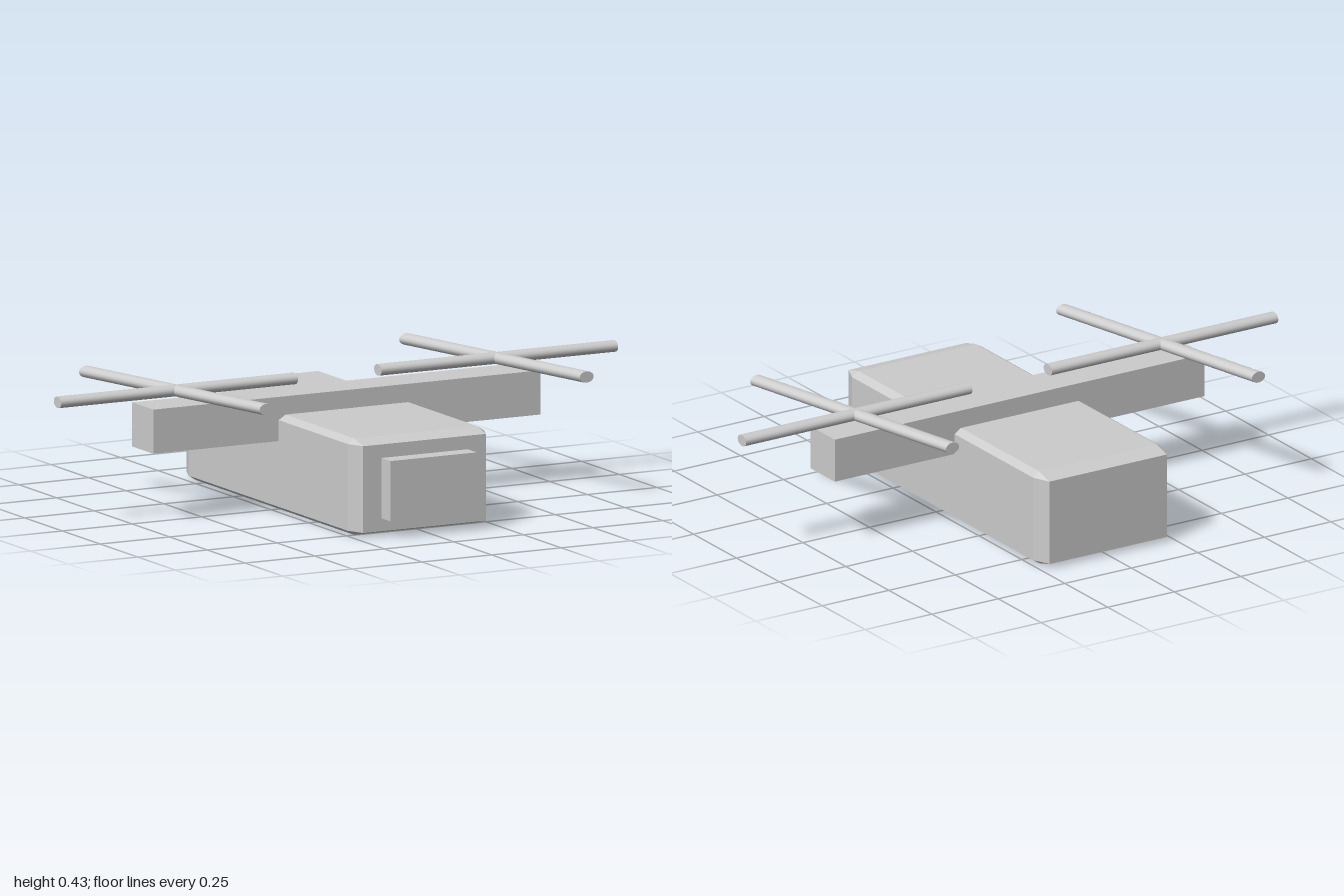
import * as THREE from 'three';
import { ConvexGeometry } from 'three/addons/geometries/ConvexGeometry.js';

const material = new THREE.MeshStandardMaterial({ color: 0xcccccc });

function addMesh(parent, name, geometry, x, y, z) {
  const mesh = new THREE.Mesh(geometry, material);
  mesh.name = name;
  mesh.position.set(x, y, z);
  parent.add(mesh);
  return mesh;
}

// Box with every edge cut by a bevel proportional to its size
function bevelledBox(w, h, d, bevel) {
  const points = [];
  const k = 1 - 2 * bevel;
  for (const sx of [-1, 1]) for (const sy of [-1, 1]) for (const sz of [-1, 1]) {
    for (const [a, b, c] of [[1, k, k], [k, 1, k], [k, k, 1]]) {
      points.push(new THREE.Vector3(sx * a * w / 2, sy * b * h / 2, sz * c * d / 2));
    }
  }
  return new ConvexGeometry(points);
}

// Oval rod along `axis`, with slanted ends lying along `across`
function blade(across, axis, thickness) {
  const g = new THREE.CylinderGeometry(0.5, 0.5, 1, 16);
  return g.applyMatrix4(new THREE.Matrix4().makeBasis(
    new THREE.Vector3(...across),
    new THREE.Vector3(...axis),
    new THREE.Vector3(0, -thickness, 0)
  ));
}

export function createModel() {
  const model = new THREE.Group();
  model.name = 'rotorcraft';

  // Body and nose panel
  addMesh(model, 'fuselage', bevelledBox(0.49, 0.31, 1.17, 0.05), 0, 0.155, -0.03);
  addMesh(model, 'nosePanel', new THREE.BoxGeometry(0.31, 0.194, 0.1), 0, 0.154, 0.565);

  // Cross beam
  addMesh(model, 'wing', new THREE.BoxGeometry(1.39, 0.142, 0.14), 0, 0.298, -0.03);

  // Two identical crossed rotors floating just above the wing tips
  for (const [name, x] of [['rightRotor', -0.575], ['leftRotor', 0.575]]) {
    const rotor = new THREE.Group();
    rotor.name = name;
    rotor.position.set(x, 0.408, -0.03);
    addMesh(rotor, 'longBlade', blade([0.05, 0, 0], [0.196, 0, 0.836], 0.037), 0, 0, 0);
    addMesh(rotor, 'crossBlade', blade([0, 0, -0.05], [0.85, 0, 0], 0.037), 0, 0, -0.002);
    model.add(rotor);
  }
  return model;
}
